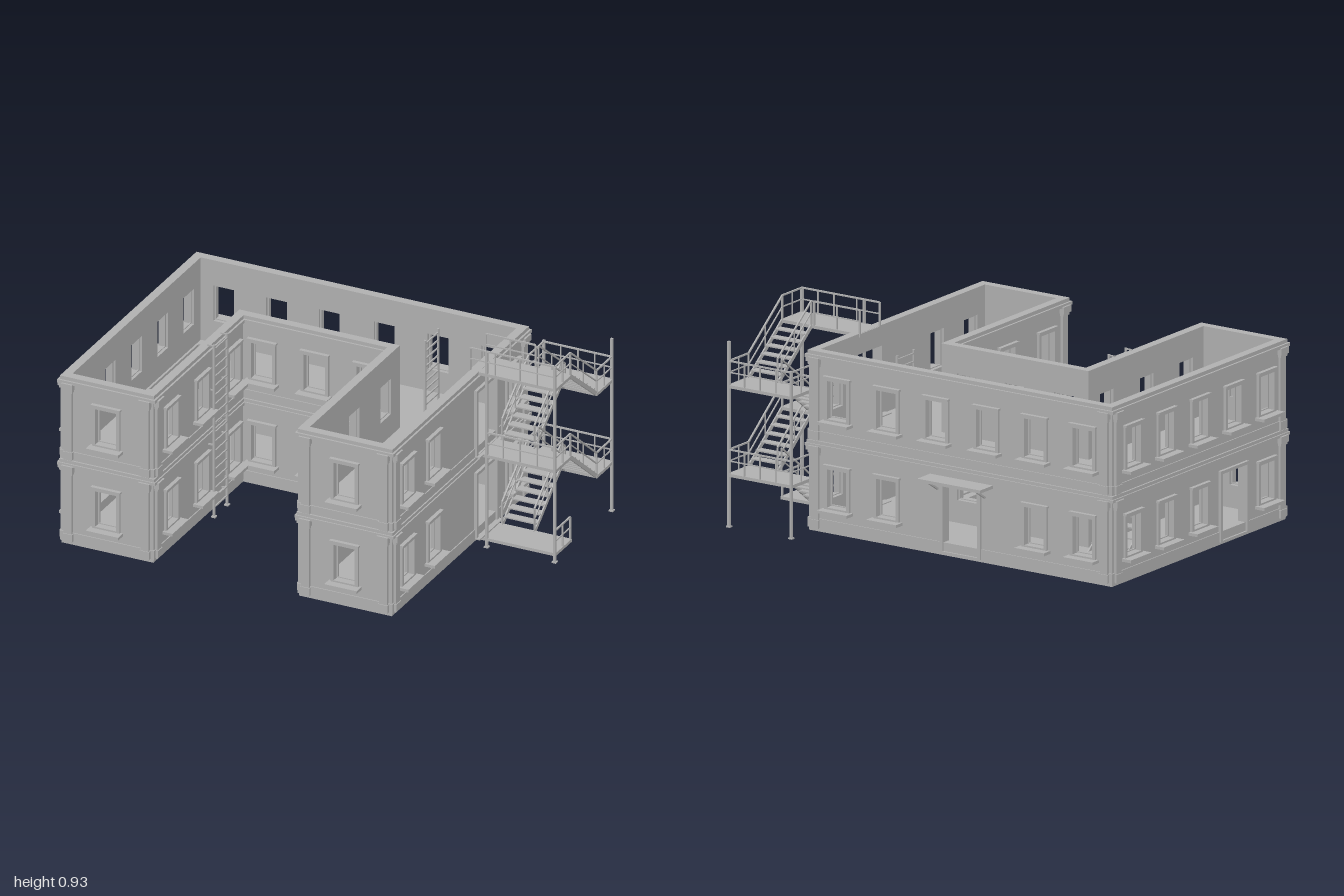
import * as THREE from 'three';

const concrete = new THREE.MeshStandardMaterial({ color: 0xb0b0b0 });
concrete.name = 'concrete grey';

const T = 0.035;                 // wall thickness
const STOREY = 0.39;             // floor to floor
const FLOOR = 0.045;

function add(parent, geo, name, x = 0, y = 0, z = 0) {
  const m = new THREE.Mesh(geo, concrete);
  m.name = name;
  m.position.set(x, y, z);
  parent.add(m);
  return m;
}

// box given by its min and max corners
function slab(parent, name, x0, x1, y0, y1, z0, z1) {
  return add(parent, new THREE.BoxGeometry(x1 - x0, y1 - y0, z1 - z0), name,
    (x0 + x1) / 2, (y0 + y1) / 2, (z0 + z1) / 2);
}

// square bar between two points
function bar(parent, name, a, b, t = 0.007, h = t) {
  const p = new THREE.Vector3(...a), q = new THREE.Vector3(...b);
  const m = add(parent, new THREE.BoxGeometry(t, h, p.distanceTo(q)), name);
  m.position.copy(p).add(q).multiplyScalar(0.5);
  m.lookAt(q);
  return m;
}

const rectPoints = (x0, x1, y0, y1) =>
  [[x0, y0], [x1, y0], [x1, y1], [x0, y1]].map(p => new THREE.Vector2(...p));

const extrude = (shape, depth) => new THREE.ExtrudeGeometry(shape, { depth, bevelEnabled: false });

// U-shaped footprint grown outward by o (shape y is -z)
function footprint(o) {
  const pts = [[-0.945 - o, 0.625 + o], [-0.945 - o, -0.665 - o], [-0.51 + o, -0.665 - o], [-0.51 + o, 0.19 - o],
    [0.18 - o, 0.19 - o], [0.18 - o, -0.665 - o], [0.62 + o, -0.665 - o], [0.62 + o, 0.625 + o]];
  return pts.map(p => new THREE.Vector2(...p));
}

function band(parent, name, y0, y1, o, hole) {
  const s = new THREE.Shape(footprint(o));
  if (hole) s.holes.push(new THREE.Path(hole));
  add(parent, extrude(s, y1 - y0), name, 0, y0, 0).rotation.x = -Math.PI / 2;
}

// raised frame round an opening
function trim(parent, name, u, w, y0, y1, b, depth, z) {
  const s = new THREE.Shape(rectPoints(u - w / 2 - b, u + w / 2 + b, y0 - b * 0.5, y1 + b));
  s.holes.push(new THREE.Path(rectPoints(u - w / 2, u + w / 2, y0, y1)));
  add(parent, extrude(s, depth), name, 0, 0, z);
}

// facade facing local +z, openings listed per storey
function facade(parent, f) {
  const g = new THREE.Group();
  g.name = f.name;
  g.rotation.y = f.turn;
  g.position.set(Math.sin(f.turn) * f.off, 0, Math.cos(f.turn) * f.off);
  parent.add(g);
  const [u0, u1] = [f.from * f.sign, f.to * f.sign].sort((a, b) => a - b);
  const wall = new THREE.Shape(rectPoints(u0, u1, FLOOR, 0.81));
  for (let i = 0; i < 2; i++) {
    const dy = i * STOREY;
    for (const c of f.windows[i]) {
      const u = c * f.sign, w = 0.1, y0 = 0.148 + dy, y1 = 0.316 + dy;
      wall.holes.push(new THREE.Path(rectPoints(u - w / 2, u + w / 2, y0, y1)));
      trim(g, 'windowTrim', u, w, y0, y1, 0.015, 0.012, 0);
      trim(g, 'windowSash', u, w - 0.014, y0 + 0.007, y1 - 0.007, 0.008, 0.008, -0.024);
      slab(g, 'windowSill', u - 0.077, u + 0.077, y0 - 0.021, y0 - 0.008, 0, 0.048);
      slab(g, 'windowHood', u - 0.069, u + 0.069, y1 + 0.011, y1 + 0.02, 0, 0.018);
    }
    for (const c of f.doors[i]) {
      const u = c * f.sign, w = 0.18, y0 = 0.052 + dy, y1 = 0.345 + dy;
      wall.holes.push(new THREE.Path(rectPoints(u - w / 2, u + w / 2, y0, y1)));
      trim(g, 'doorFrame', u, w, y0, y1, 0.014, 0.014 + T, -T);
    }
    // pilasters beside the outer corners
    for (const [end, dir] of [[u0, 1], [u1, -1]]) {
      if (f.plain !== undefined && Math.abs(end - f.plain * f.sign) < 1e-6) continue;
      const c = end + dir * 0.035, top = 0.41 + dy;
      slab(g, 'pilasterShaft', c - 0.019, c + 0.019, FLOOR + dy, top, 0, 0.012);
      slab(g, 'pilasterBase', c - 0.023, c + 0.023, FLOOR + dy + 0.005, FLOOR + dy + 0.04, 0, 0.016);
      slab(g, 'pilasterNeck', c - 0.023, c + 0.023, top - 0.042, top - 0.03, 0, 0.017);
      slab(g, 'pilasterCapital', c - 0.027, c + 0.027, top - 0.03, top, 0, 0.023);
    }
  }
  add(g, extrude(wall, T), 'wall', 0, 0, -T);
}

// railing along a path, with posts at each point and halfway
function railing(parent, path, h = 0.105) {
  const up = (p, d) => [p[0], p[1] + d, p[2]];
  path.forEach((p, i) => {
    bar(parent, 'railPost', p, up(p, h));
    if (!i) return;
    const q = path[i - 1], mid = p.map((v, k) => (v + q[k]) / 2);
    bar(parent, 'railPost', mid, up(mid, h), 0.005);
    bar(parent, 'handrail', up(q, h), up(p, h));
    bar(parent, 'midRail', up(q, h * 0.52), up(p, h * 0.52), 0.005);
  });
}

// straight flight running along z
function flight(parent, x0, x1, z0, y0, z1, y1, steps, rails) {
  for (let i = 1; i < steps; i++) {
    const t = i / steps, z = z0 + (z1 - z0) * t, y = y0 + (y1 - y0) * t;
    const d = Math.abs(z1 - z0) / steps * 0.55;
    slab(parent, 'stairTread', x0, x1, y - 0.006, y, z - d, z + d);
  }
  for (const x of [x0, x1]) {
    bar(parent, 'stairStringer', [x, y0 - 0.006, z0], [x, y1 - 0.006, z1], 0.007, 0.018);
    if (rails) railing(parent, [[x, y0, z0], [x, y1, z1]]);
  }
}

// ladder in a plane of constant x
function ladder(parent, name, x, z0, z1, y0, y1, rungs) {
  const g = new THREE.Group();
  g.name = name;
  parent.add(g);
  for (const z of [z0, z1]) bar(g, 'ladderRail', [x, y0, z], [x, y1, z], 0.009);
  for (let i = 1; i <= rungs; i++) {
    const y = y0 + (y1 - y0) * i / (rungs + 0.5);
    bar(g, 'ladderRung', [x, y, z0], [x, y, z1], 0.006);
  }
  return g;
}

function fireEscape(parent) {
  const g = new THREE.Group();
  g.name = 'fireEscape';
  parent.add(g);
  const L = 0.663, R = 0.985, F = -0.153, B = -0.695;
  for (const [x, z, top] of [[L, F, 0.93], [R, F, 0.93], [L, B, 0.74], [R, B, 0.82]]) {
    bar(g, 'supportPost', [x, 0, z], [x, top, z], 0.011);
    slab(g, 'postFoot', x - 0.01, x + 0.01, 0, 0.006, z - 0.01, z + 0.01);
  }
  // landings by the doors, and halfway landings at the far end
  [[0.63, 0.045], [0.63, 0.44], [0.58, 0.825]].forEach(([x, y], i) => {
    slab(g, 'doorLanding', x, 0.99, y - 0.014, y, -0.305, -0.15);
    railing(g, [[R, y, F], [R, y, -0.3]]);
    if (i > 0) railing(g, [[i > 1 ? 0.584 : L, y, F], [0.82, y, F], [R, y, F]]);
    if (i > 1) railing(g, [[0.584, y, -0.3], [0.82, y, -0.3]]);
  });
  for (const y of [0.237, 0.628]) {
    slab(g, 'halfLanding', 0.658, 0.99, y - 0.014, y, -0.7, -0.545);
    railing(g, [[L, y, -0.55], [L, y, B], [0.825, y, B], [R, y, B], [R, y, -0.55]]);
  }
  for (const [y0, y1, y2] of [[0.045, 0.237, 0.44], [0.44, 0.628, 0.825]]) {
    flight(g, L, 0.815, -0.3, y0, -0.55, y1, 7, true);
    flight(g, 0.835, R, -0.55, y1, -0.3, y2, 7, true);
  }
}

export function createModel() {
  const model = new THREE.Group();
  model.name = 'building';
  const none = [[], []], back = [-0.8, -0.55, -0.3, -0.04, 0.215, 0.47];
  const left = [-0.475, -0.23, 0.02, 0.27, 0.515], court = [-0.09, 0.21, 0.5];
  const both = a => [a, a], H = Math.PI / 2;

  // walls with their openings
  [
    { name: 'wingFrontLeft', turn: 0, off: 0.665, sign: 1, from: 0.18, to: 0.62, windows: both([0.4]), doors: none },
    { name: 'wingFrontRight', turn: 0, off: 0.665, sign: 1, from: -0.945, to: -0.51, windows: both([-0.73]), doors: none },
    { name: 'stairSide', turn: H, off: 0.62, sign: -1, from: -0.625, to: 0.665,
      windows: both([-0.475, 0.275, 0.525]), doors: both([-0.223]) },
    { name: 'backSide', turn: 2 * H, off: 0.625, sign: -1, from: -0.945, to: 0.62,
      windows: [[-0.8, -0.55, 0.215, 0.47], back], doors: [[-0.168], []] },
    { name: 'longSide', turn: -H, off: 0.945, sign: 1, from: -0.625, to: 0.665,
      windows: [left.filter(z => z !== 0.27), left], doors: [[0.27], []] },
    { name: 'courtBack', turn: 0, off: -0.19, sign: 1, from: -0.545, to: 0.215, plain: -0.545,
      windows: both([-0.417, -0.167, 0.083]), doors: none, inner: true },
    { name: 'courtSideRight', turn: H, off: -0.51, sign: -1, from: -0.19, to: 0.665, plain: -0.19, windows: both(court), doors: none },
    { name: 'courtSideLeft', turn: -H, off: -0.18, sign: 1, from: -0.19, to: 0.665, plain: -0.19, windows: both(court), doors: none },
  ].forEach(f => facade(model, f));

  // floors and horizontal mouldings
  const inside = footprint(-T);
  band(model, 'groundFloor', 0.032, FLOOR + 0.003, 0);
  band(model, 'upperFloor', 0.42, 0.435, -0.01, rectPoints(-0.9, -0.71, 0.08, 0.55));
  band(model, 'plinth', 0.046, 0.09, 0.005, inside);
  band(model, 'upperPlinth', 0.436, 0.475, 0.005, inside);
  band(model, 'beltMoulding', 0.405, 0.418, 0.014, footprint(-0.01));
  band(model, 'beltLedge', 0.418, 0.432, 0.008, footprint(-0.01));
  band(model, 'topCornice', 0.795, 0.81, 0.014, footprint(-0.01));
  band(model, 'coping', 0.81, 0.826, 0.005, inside);

  // canopy over the back door
  slab(model, 'doorCanopy', -0.33, -0.005, 0.366, 0.38, -0.72, -0.62);
  for (const x of [-0.29, -0.045]) bar(model, 'canopyBracket', [x, 0.32, -0.626], [x, 0.366, -0.7], 0.008);
  // thresholds of the side doors
  for (const y of [0.046, 0.434]) slab(model, 'doorThreshold', 0.55, 0.65, y, y + 0.006, -0.335, -0.115);

  // indoor stair and indoor ladder
  const stair = new THREE.Group();
  stair.name = 'indoorStair';
  model.add(stair);
  flight(stair, -0.897, -0.713, -0.55, 0.045, -0.08, 0.43, 11, false);
  ladder(model, 'indoorLadder', 0.28, -0.46, -0.335, 0.435, 0.815, 10);

  // courtyard ladder with feet and wall brackets
  const outer = ladder(model, 'courtyardLadder', -0.484, 0.015, 0.14, 0.02, 0.835, 18);
  for (const z of [0.015, 0.14]) {
    slab(outer, 'ladderFoot', -0.494, -0.474, 0.018, 0.024, z - 0.01, z + 0.01);
    for (const y of [0.1, 0.36, 0.62, 0.83]) bar(outer, 'ladderBracket', [-0.515, y, z], [-0.484, y, z], 0.006);
  }

  fireEscape(model);
  return model;
}
